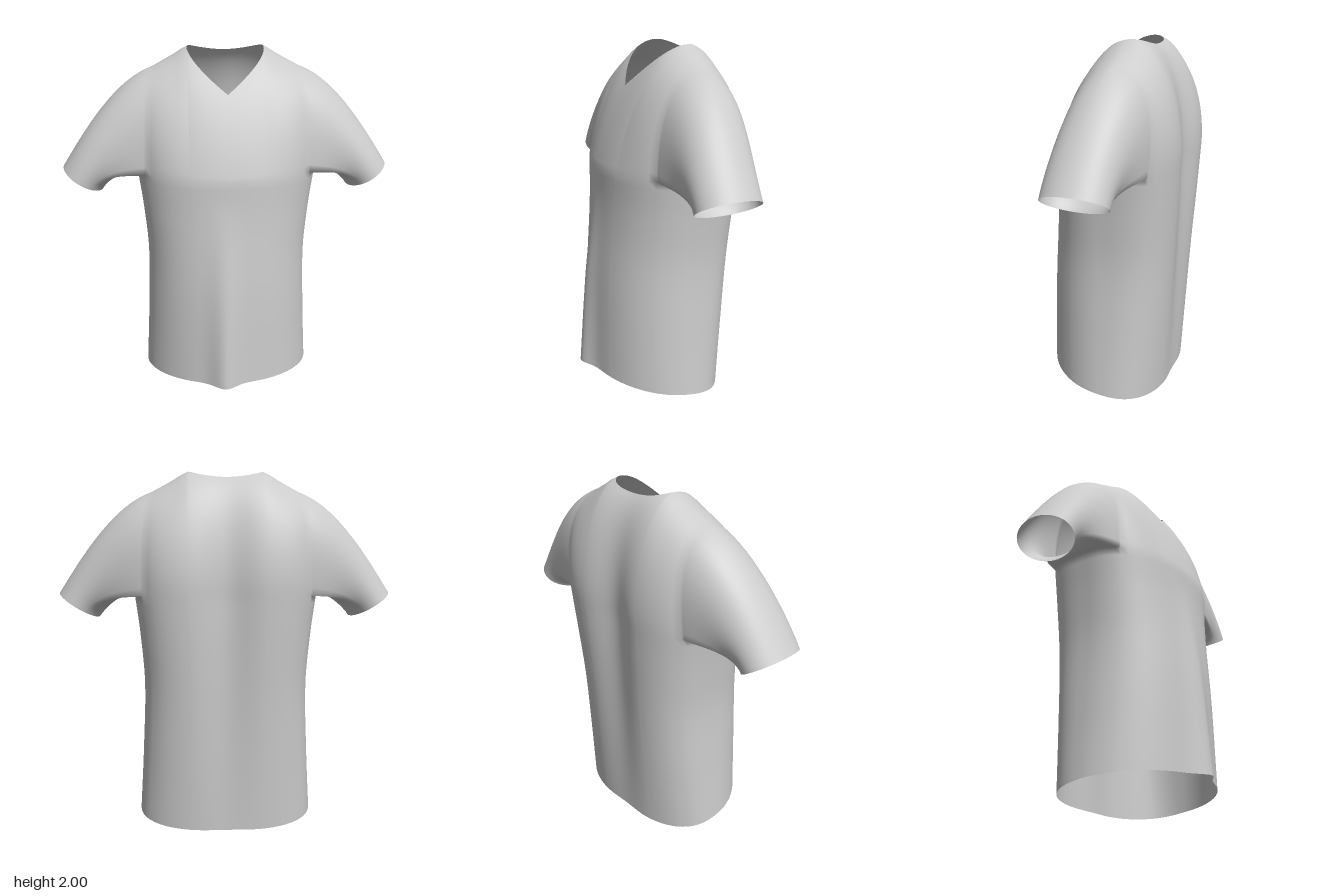
import * as THREE from 'three';

const ARMPIT = 1.33, HALF = 0.42, NECK = 0.215, RIDGE_Z = -0.12, MID_Z = -0.05;
const UP = 20, SIDE = 16;
const V = (x, y, z) => new THREE.Vector3(x, y, z);
const lerp = THREE.MathUtils.lerp;
const bell = (x, w) => Math.exp(-((x / w) ** 2));

// Smooth lookup through [key, value] stations
function stations(list) {
  return (k) => {
    let i = 0;
    while (i < list.length - 2 && k > list[i + 1][0]) i++;
    const at = (n) => list[Math.min(Math.max(n, 0), list.length - 1)];
    const [k1, v1] = at(i), [k2, v2] = at(i + 1);
    const slope = (n) => (at(n + 1)[1] - at(n - 1)[1]) / (at(n + 1)[0] - at(n - 1)[0]);
    const h = k2 - k1, t = (k - k1) / h, t2 = t * t, t3 = t2 * t;
    return v1 * (2 * t3 - 3 * t2 + 1) + v2 * (3 * t2 - 2 * t3)
      + h * (slope(i) * (t3 - 2 * t2 + t) + slope(i + 1) * (t3 - t2));
  };
}
const width = stations([[0, 0.505], [0.4, 0.482], [0.8, 0.468], [1.1, 0.488], [1.33, 0.515]]);
const frontZ = stations([[0, 0.37], [0.6, 0.35], [1.1, 0.31], [1.33, 0.3]]);
const backZ = stations([[0, -0.365], [0.6, -0.4], [1.1, -0.43], [1.33, -0.44]]);
const ridgeY = stations([[0, 2], [0.2, 2], [0.3, 1.95], [0.42, 1.888], [0.5, 1.855]]);

// Torso cross-section point: f is x over half width, s is +1 front or -1 back
function torsoPoint(level, f, s) {
  const k = level / ARMPIT, x = f * width(level);
  const n = s > 0 ? lerp(1.95, 2.25, k) : lerp(2.5, 3.2, k);
  const bulge = Math.max(0, 1 - Math.abs(f) ** n) ** (1 / n);
  let z = MID_Z + bulge * ((s > 0 ? frontZ(level) : backZ(level)) - MID_Z);
  if (s > 0) z += 0.06 * bell(x + 0.03, 0.08) * Math.max(0, 1 - level / 1.2); // hem fold
  else z += 0.06 * bell(x, 0.14) * (0.2 + 0.8 * k); // furrow down the spine
  return V(x, level + 0.05 * (1 + s * bulge) * (1 - k), z);
}

// Column positions at the shoulder, with extra density at the neck corners
const columns = [];
for (let i = 0; i < 8; i++) columns.push(lerp(-HALF, -NECK, i / 8));
for (let i = 0; i <= 28; i++) columns.push(NECK * Math.sin((i / 28 - 0.5) * Math.PI));
for (let i = 1; i <= 8; i++) columns.push(lerp(NECK, HALF, i / 8));

// The armhole slants: columns beyond the neck lean outwards towards the armpit
const outer = (x) => Math.max(0, Math.abs(x) - NECK) / (HALF - NECK);
const baseF = (x) => (x + Math.sign(x) * 0.035 * outer(x)) / width(ARMPIT);
const fractions = columns.map(baseF);
const edgeF = baseF(HALF);

// Side strip of a torso ring, running front to back
function sideStrip(level, sign) {
  return Array.from({ length: SIDE + 1 }, (_, i) => {
    const q = 1 - (2 * i) / SIDE;
    return torsoPoint(level, sign * (1 - (1 - edgeF) * q * q), q >= 0 ? 1 : -1);
  });
}

function torsoRing(level) {
  const front = fractions.map((f) => torsoPoint(level, f, 1));
  const back = [...fractions].reverse().map((f) => torsoPoint(level, f, -1));
  return [...front, ...sideStrip(level, 1).slice(1, -1), ...back,
    ...sideStrip(level, -1).reverse().slice(1, -1), front[0].clone()];
}

// Chest (s = 1) or upper back (s = -1) column, from armpit height to shoulder or neckline
function yokeColumn(x, s) {
  const ax = Math.abs(x), top = ridgeY(ax), out = outer(x);
  const base = torsoPoint(ARMPIT, baseF(x), s);
  const curve = new THREE.CubicBezierCurve3(base,
    s > 0 ? V(base.x, 1.62, base.z - lerp(0.07, 0, out))
      : V(base.x, 1.62, base.z - lerp(0.02, 0.04, out)),
    s > 0 ? V(x, top - 0.03, 0.07) : V(x, top + lerp(0.03, -0.02, out), -0.32),
    V(x, top, RIDGE_Z));
  let end = 1;
  if (ax < NECK - 1e-6) {
    const r = ax / NECK;
    const cutZ = s > 0 ? RIDGE_Z + 0.25 * (1 - r) ** 0.38 : RIDGE_Z - 0.11 * Math.sqrt(1 - r ** 4);
    let lo = 0.2, hi = 1;
    for (let i = 0; i < 30; i++) {
      end = (lo + hi) / 2;
      if (s * (curve.getPoint(end).z - cutZ) > 0) lo = end; else hi = end;
    }
  }
  return Array.from({ length: UP + 1 }, (_, i) => curve.getPoint((end * i) / UP));
}

function yokeRows(s) {
  const xs = s > 0 ? columns : [...columns].reverse();
  const cols = xs.map((x) => yokeColumn(x, s));
  return Array.from({ length: UP + 1 }, (_, i) => cols.map((c) => c[i]));
}

// Sleeve: armhole loop swept to the slanted cuff with Hermite curves
function sleeveRows(sign) {
  const corner = 2.15;
  const arch = [...yokeColumn(HALF, 1), ...yokeColumn(HALF, -1).reverse().slice(1)];
  const under = sideStrip(ARMPIT, 1).reverse().slice(1);
  const start = [...arch, ...under];
  const angles = start.map((_, j) => j <= 2 * UP
    ? corner * (1 - j / UP)
    : -corner - (2 * Math.PI - 2 * corner) * ((j - 2 * UP) / SIDE));
  const rows = [];
  for (let i = 0; i <= 24; i++) {
    const t = i / 24, t2 = t * t, t3 = t2 * t;
    rows.push(start.map((p, j) => {
      const c = Math.cos(angles[j]), d = Math.sin(angles[j]), up = (1 + c) / 2;
      const cuff = V(0.83 + 0.11 * c, 1.265 + 0.07 * c, -0.08 + 0.18 * d);
      const m0 = V(lerp(0.2, 0.6, up), lerp(0.02, -0.22, up), -0.06 * d);
      const m1 = V(0.54, -0.84, 0).multiplyScalar(lerp(0.2, 0.85, up));
      const q = p.clone().multiplyScalar(2 * t3 - 3 * t2 + 1)
        .addScaledVector(cuff, 3 * t2 - 2 * t3)
        .addScaledVector(m0, t3 - 2 * t2 + t).addScaledVector(m1, t3 - t2);
      q.x *= sign;
      return q;
    }));
  }
  return rows;
}

// Surface through rows of points
function patch(name, rows, flip, material) {
  const n = rows[0].length, index = [];
  for (let i = 0; i < rows.length - 1; i++) {
    for (let j = 0; j < n - 1; j++) {
      const a = i * n + j, b = a + 1, c = a + n, d = c + 1;
      if (flip) index.push(a, c, b, b, c, d);
      else index.push(a, b, c, b, d, c);
    }
  }
  const geometry = new THREE.BufferGeometry().setFromPoints(rows.flat());
  geometry.setIndex(index);
  geometry.computeVertexNormals();
  const mesh = new THREE.Mesh(geometry, material);
  mesh.name = name;
  return mesh;
}

// Share normals where pieces meet, so that the seams stay smooth
function blendSeams(meshes) {
  const sums = new Map(), p = V(0, 0, 0);
  const visit = (fn) => meshes.forEach(({ geometry: { attributes: a } }) => {
    for (let i = 0; i < a.position.count; i++) {
      p.fromBufferAttribute(a.position, i);
      fn(p.toArray().map((v) => Math.round(v * 1e4)).join(), a.normal, i);
    }
  });
  visit((key, normal, i) => {
    if (!sums.has(key)) sums.set(key, V(0, 0, 0));
    sums.get(key).add(V(0, 0, 0).fromBufferAttribute(normal, i));
  });
  sums.forEach((n) => n.normalize());
  visit((key, normal, i) => normal.setXYZ(i, ...sums.get(key).toArray()));
}

export function createModel() {
  const cloth = new THREE.MeshStandardMaterial({ color: 0xcccccc, side: THREE.DoubleSide });
  const levels = Array.from({ length: 31 }, (_, i) => (ARMPIT * i) / 30);
  const parts = [
    patch('torso', levels.map(torsoRing), false, cloth),
    patch('chest', yokeRows(1), false, cloth),
    patch('upperBack', yokeRows(-1), false, cloth),
    patch('leftSleeve', sleeveRows(1), true, cloth),
    patch('rightSleeve', sleeveRows(-1), false, cloth),
  ];
  blendSeams(parts);
  const shirt = new THREE.Group();
  shirt.name = 'shirt';
  shirt.add(...parts);
  return shirt;
}
